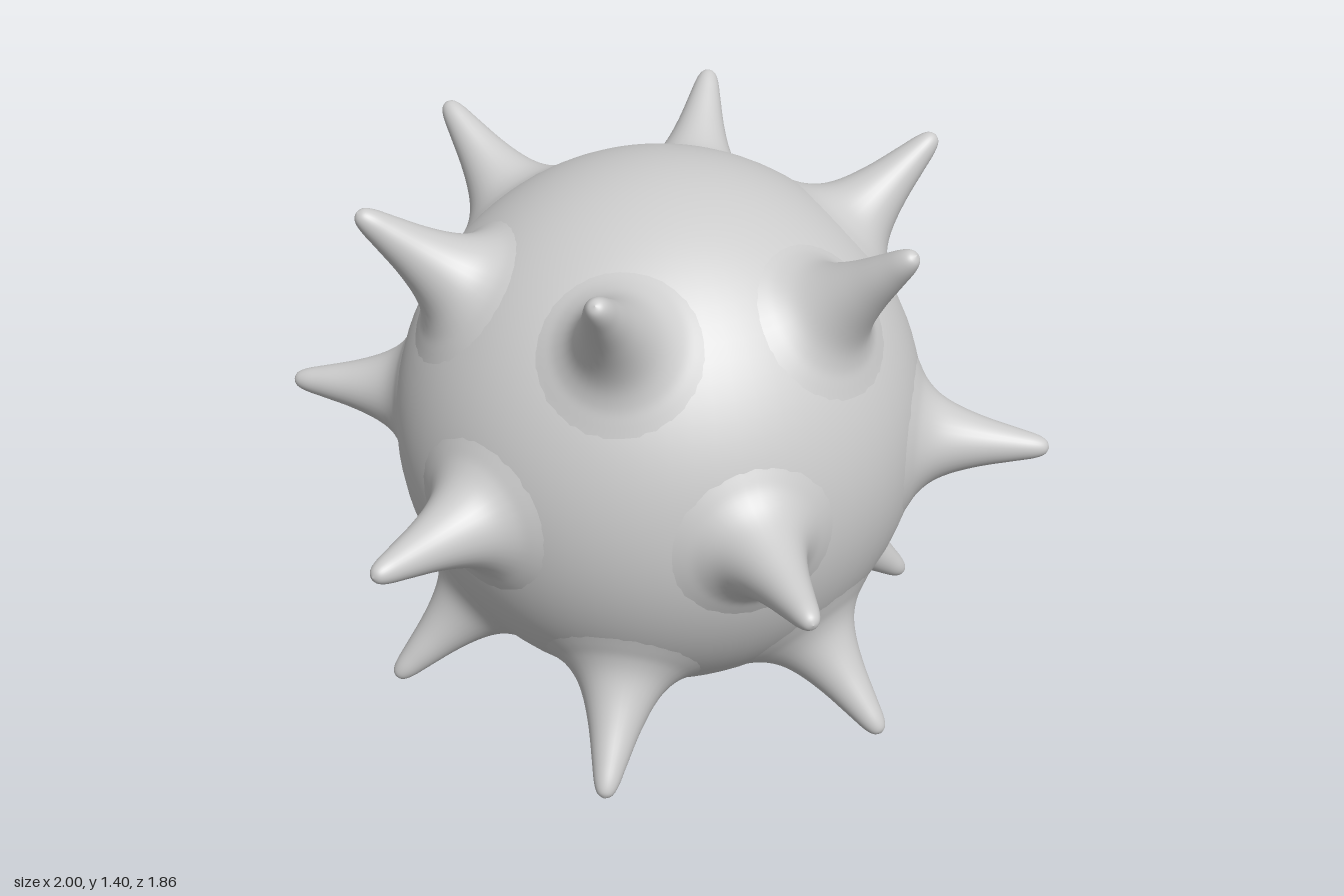
import * as THREE from 'three';

const CENTRE_Y = 0.7;

export function createModel() {
  const model = new THREE.Group();
  model.name = 'spikedBall';
  const material = new THREE.MeshStandardMaterial({ color: 0xcccccc });

  // Ball, very slightly slimmer around the equator
  const ball = new THREE.Mesh(new THREE.SphereGeometry(0.7, 72, 48), material);
  ball.name = 'ball';
  ball.position.y = CENTRE_Y;
  ball.scale.set(0.98, 1, 0.98);
  model.add(ball);

  // Spike profile (radius, distance from ball centre): flared root, concave flank, rounded tip
  const profile = new THREE.SplineCurve([
    [0.24, 0.636], [0.19, 0.662], [0.15, 0.685], [0.115, 0.72], [0.088, 0.77],
    [0.064, 0.84], [0.044, 0.92], [0.031, 0.972], [0.018, 0.998], [0, 1.007],
  ].map(([r, d]) => new THREE.Vector2(r, d))).getPoints(45);
  profile.forEach((p) => { p.x = Math.max(p.x, 0); });
  const spikeGeometry = new THREE.LatheGeometry(profile, 32);

  // Three rings of six spikes: equator, and mirrored upper and lower rings turned half a step
  const up = new THREE.Vector3(0, 1, 0);
  const rings = [
    { name: 'equatorSpike', elevation: 0, start: 52.5, lift: 0 },
    { name: 'upperSpike', elevation: 42, start: 22.5, lift: 0.004 },
    { name: 'lowerSpike', elevation: -42, start: 22.5, lift: 0.004 },
  ];
  for (const ring of rings) {
    const elevation = THREE.MathUtils.degToRad(ring.elevation);
    for (let i = 0; i < 6; i++) {
      const angle = THREE.MathUtils.degToRad(ring.start + i * 60);
      const direction = new THREE.Vector3(
        Math.cos(elevation) * Math.cos(angle),
        Math.sin(elevation),
        Math.cos(elevation) * Math.sin(angle),
      );
      const spike = new THREE.Mesh(spikeGeometry, material);
      spike.name = `${ring.name}${i + 1}`;
      spike.quaternion.setFromUnitVectors(up, direction);
      spike.position.copy(direction).multiplyScalar(ring.lift);
      spike.position.y += CENTRE_Y;
      model.add(spike);
    }
  }
  return model;
}
